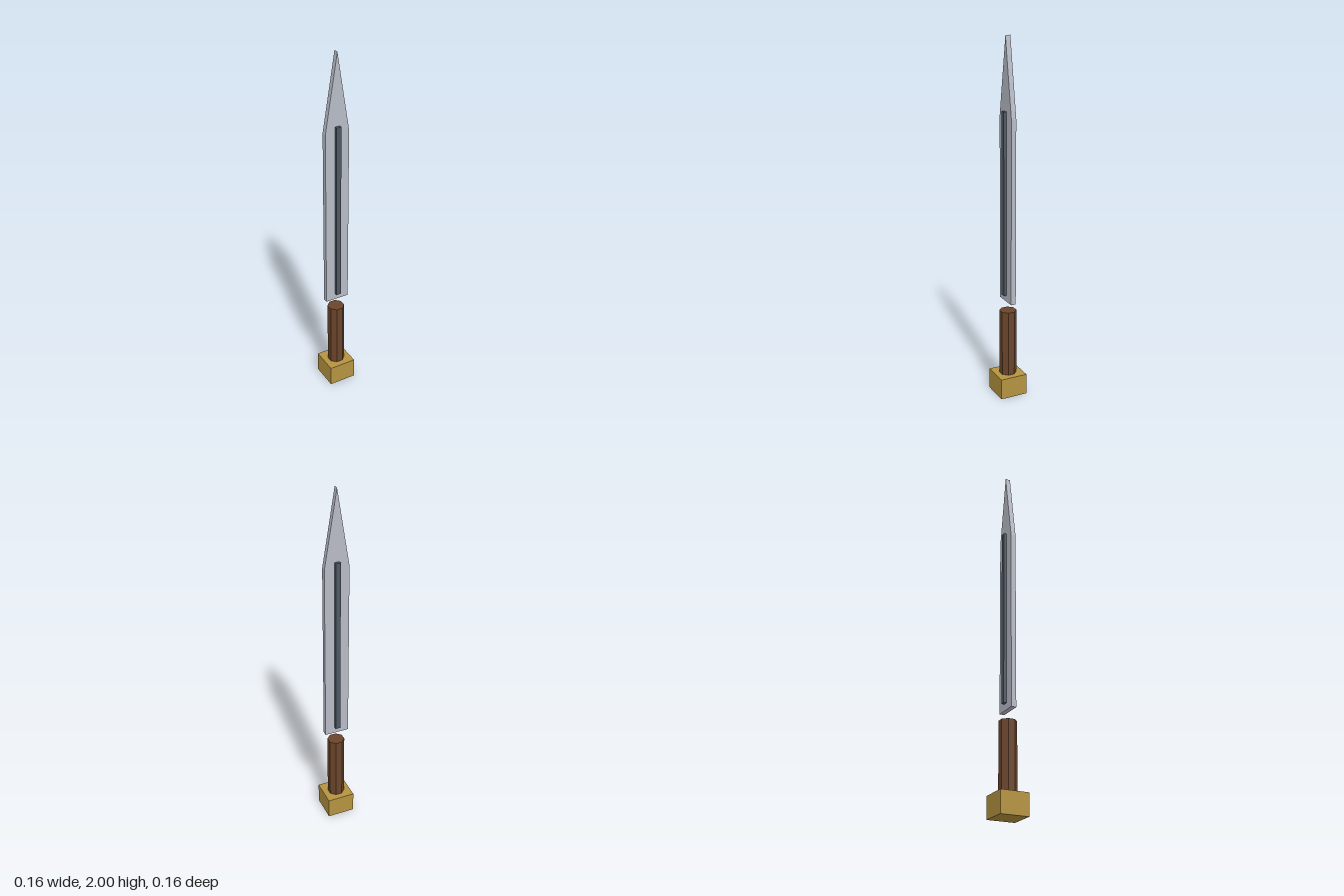
import * as THREE from 'three';

const flat = (name, color) => {
  const material = new THREE.MeshStandardMaterial({ color });
  material.name = name;
  return material;
};

export function createModel() {
  const steel = flat('steel', 0xb8bcc6);
  const darkSteel = flat('dark steel', 0x4f5964);
  const leather = flat('brown leather', 0x6b452b);
  const brass = flat('brass', 0xb5933f);

  const sword = new THREE.Group();
  sword.name = 'sword';
  const add = (name, geometry, material, y = 0) => {
    const mesh = new THREE.Mesh(geometry, material);
    mesh.name = name;
    mesh.position.y = y;
    sword.add(mesh);
  };

  // Square pommel at the foot
  add('pommel', new THREE.BoxGeometry(0.157, 0.12, 0.157), brass, 0.06);

  // Octagonal grip with flats facing the four sides
  const grip = new THREE.CylinderGeometry(0.048, 0.048, 0.38, 8).rotateY(Math.PI / 8).toNonIndexed();
  grip.computeVertexNormals();
  add('grip', grip, leather, 0.31);

  // Flat blade with a pointed tip, floating just above the grip
  const outline = new THREE.Shape([
    [-0.069, 0.556], [0.069, 0.556], [0.069, 1.58], [0, 2], [-0.069, 1.58],
  ].map(([x, y]) => new THREE.Vector2(x, y)));
  const thickness = 0.028;
  const blade = new THREE.ExtrudeGeometry(outline, { depth: thickness, bevelEnabled: false });
  blade.translate(0, 0, -thickness / 2);
  add('blade', blade, steel);

  // Raised spine standing proud on both faces of the blade
  add('spine', new THREE.BoxGeometry(0.028, 1.02, 0.062), darkSteel, 1.103);

  return sword;
}
